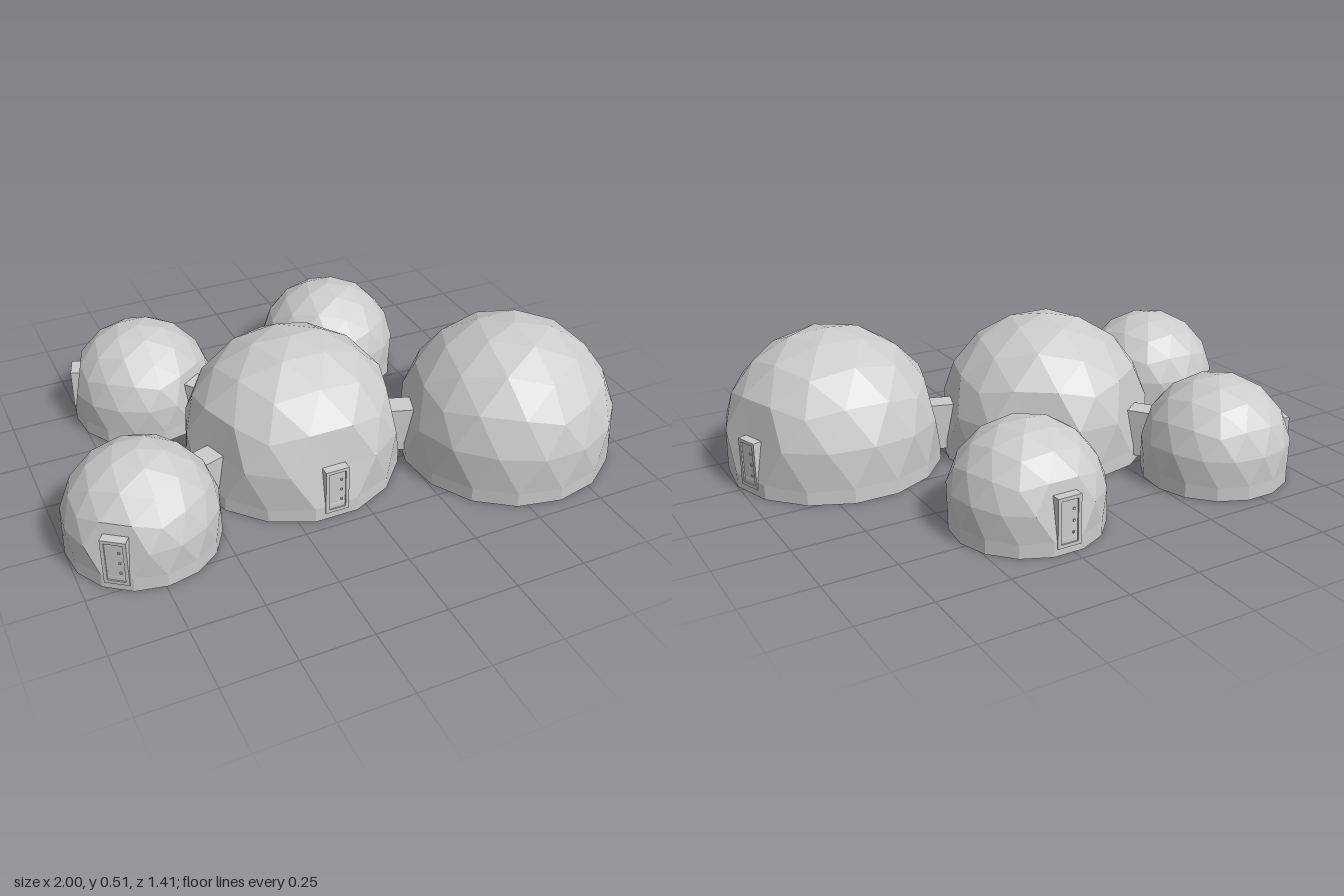
import * as THREE from 'three';
import { mergeVertices } from 'three/addons/utils/BufferGeometryUtils.js';

const material = new THREE.MeshStandardMaterial({ color: 0xcccccc, flatShading: true });
const DEG = Math.PI / 180;
const BIG = 0.387, SMALL = 0.264;
const SKIRT = 0.05; // height of the straight wall under the facets
const DOOR_BOTTOM = 0.025, DOOR_TOP = 0.195, DOOR_WIDTH = 0.085;

// Geodesic dome: a vertex-up icosphere cut below its middle, on a straight 15-sided wall.
// Hexagons that carry a door or passage (headings in degrees from +z to +x) are pressed flat.
function domeGeometry(radius, heading, flatHeadings) {
  let ico = new THREE.IcosahedronGeometry(radius, 2);
  ico.rotateX(-Math.atan((1 + Math.sqrt(5)) / 2));
  ico.rotateY((heading + 180) * DEG);
  ico.deleteAttribute('normal');
  ico.deleteAttribute('uv');
  ico = mergeVertices(ico, 1e-4);

  const pos = ico.attributes.position;
  const points = [], rim = [];
  const centreY = SKIRT + 0.178 * radius;
  for (let i = 0; i < pos.count; i++) {
    const p = new THREE.Vector3().fromBufferAttribute(pos, i);
    const level = p.y / radius;
    if (level > 0.18 && level < 0.2) {
      const az = Math.atan2(p.x, p.z);
      if (flatHeadings.some((h) => Math.cos(az - h * DEG) > 0.99)) p.multiplyScalar(0.911);
    }
    if (level < -0.1 && level > -0.25) rim.push(p);
    p.keep = level > -0.25;
    p.y += centreY;
    points.push(p);
  }

  const out = [];
  const tri = (...corners) => corners.forEach((c) => out.push(c.x, c.y, c.z));
  const index = ico.index;
  for (let i = 0; i < index.count; i += 3) {
    const t = [0, 1, 2].map((k) => points[index.getX(i + k)]);
    if (t.every((p) => p.keep)) tri(...t);
  }
  // Wall and floor
  rim.sort((a, b) => Math.atan2(a.x, a.z) - Math.atan2(b.x, b.z));
  const floorCentre = new THREE.Vector3();
  rim.forEach((a, i) => {
    const b = rim[(i + 1) % rim.length];
    const a0 = new THREE.Vector3(a.x, 0, a.z), b0 = new THREE.Vector3(b.x, 0, b.z);
    tri(a0, b0, b);
    tri(a0, b, a);
    tri(floorCentre, b0, a0);
  });
  const g = new THREE.BufferGeometry();
  g.setAttribute('position', new THREE.Float32BufferAttribute(out, 3));
  g.computeVertexNormals();
  return g;
}

function box(parent, name, w, h, d, x, y, z) {
  const m = new THREE.Mesh(new THREE.BoxGeometry(w, h, d), material);
  m.name = name;
  m.position.set(x, y, z);
  parent.add(m);
  return m;
}

// Door: a deep frame around a slightly recessed leaf with three small fittings
function makeDoor(radius) {
  const door = new THREE.Group();
  door.name = 'door';
  const face = radius * 0.959 + 0.006, depth = 0.06, bar = 0.012;
  const h = DOOR_TOP - DOOR_BOTTOM, midY = (DOOR_TOP + DOOR_BOTTOM) / 2;
  const z = face - depth / 2;
  for (const s of [-1, 1]) {
    box(door, 'doorJamb', bar, h, depth, s * (DOOR_WIDTH - bar) / 2, midY, z);
    box(door, s > 0 ? 'doorLintel' : 'doorSill', DOOR_WIDTH - 2 * bar, bar, depth,
      0, midY + s * (h - bar) / 2, z);
  }
  box(door, 'doorLeaf', DOOR_WIDTH - 2 * bar, h - 2 * bar, depth, 0, midY, z - 0.005);
  for (const y of [-0.04, 0, 0.04])
    box(door, 'doorFitting', 0.007, 0.007, 0.006, 0.016, midY + y, face - 0.004);
  return door;
}

export function createModel() {
  const model = new THREE.Group();
  model.name = 'domeSettlement';
  const hub = { x: -0.117, z: 0.083 };

  function addDome(name, radius, x, z, doorHeading, passageHeadings) {
    const dome = new THREE.Group();
    dome.name = name;
    dome.position.set(x, 0, z);
    const shell = new THREE.Mesh(
      domeGeometry(radius, doorHeading, [doorHeading, ...passageHeadings]), material);
    shell.name = 'domeShell';
    const door = makeDoor(radius);
    door.rotation.y = doorHeading * DEG;
    dome.add(shell, door);
    model.add(dome);
  }

  // Outer domes, each joined to the hub by a short box passage
  const outer = [
    { name: 'frontLeftDome', radius: BIG, heading: 72, distance: 0.775, door: 108 },
    { name: 'backLeftDome', radius: SMALL, heading: 144, distance: 0.657, door: 180 },
    { name: 'backRightDome', radius: SMALL, heading: -144, distance: 0.657, door: -108 },
    { name: 'frontRightDome', radius: SMALL, heading: -72, distance: 0.657, door: -36 },
  ];
  addDome('hubDome', BIG, hub.x, hub.z, 0, outer.map((o) => o.heading));
  for (const o of outer) {
    const a = o.heading * DEG;
    addDome(o.name, o.radius, hub.x + o.distance * Math.sin(a), hub.z + o.distance * Math.cos(a),
      o.door, [o.heading + 180]);
    const start = BIG * 0.85, end = o.distance - o.radius * 0.82;
    const passage = new THREE.Group();
    passage.name = 'passage';
    passage.position.set(hub.x, 0, hub.z);
    passage.rotation.y = a;
    box(passage, 'passageBox', DOOR_WIDTH, DOOR_TOP - DOOR_BOTTOM, end - start,
      0, (DOOR_TOP + DOOR_BOTTOM) / 2, (start + end) / 2);
    model.add(passage);
  }
  return model;
}
